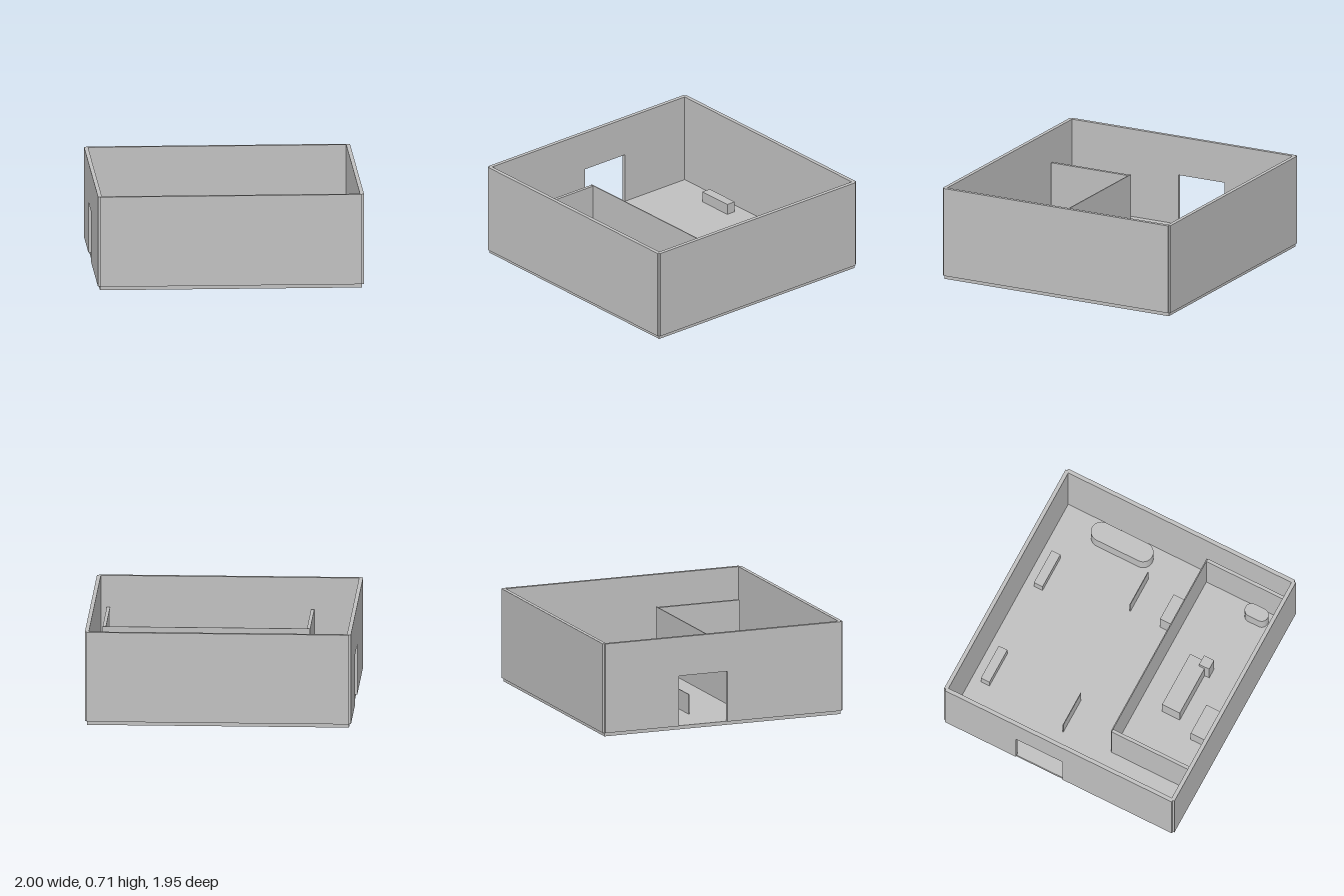
import * as THREE from 'three';

const FLOOR = 0.028, TOP = 0.715;

export function createModel() {
  const model = new THREE.Group();
  model.name = 'openRoom';
  const grey = new THREE.MeshStandardMaterial({ color: 0xc0c0c0 });
  grey.name = 'plain grey';

  const add = (name, geometry) => {
    const mesh = new THREE.Mesh(geometry, grey);
    mesh.name = name;
    model.add(mesh);
    return mesh;
  };
  // Box given by its limits on each axis
  const block = (name, x0, x1, y0, y1, z0, z1) =>
    add(name, new THREE.BoxGeometry(x1 - x0, y1 - y0, z1 - z0)
      .translate((x0 + x1) / 2, (y0 + y1) / 2, (z0 + z1) / 2));

  // Upright block with a round-ended plan, long along z
  const roundEnded = (name, x0, x1, z0, z1, height) => {
    const r = (x1 - x0) / 2, half = (z1 - z0) / 2 - r;
    const plan = new THREE.Shape();
    plan.absarc(0, half, r, 0, Math.PI, false);
    plan.absarc(0, -half, r, Math.PI, Math.PI * 2, false);
    plan.closePath();
    const geometry = new THREE.ExtrudeGeometry(plan, { depth: height, bevelEnabled: false, curveSegments: 16 });
    geometry.rotateX(-Math.PI / 2).translate((x0 + x1) / 2, FLOOR, (z0 + z1) / 2);
    return add(name, geometry);
  };

  // Floor and outer walls, whose corners interlock with a small notch
  block('floor', -0.985, 0.985, 0, FLOOR, -0.96, 0.96);
  block('frontWall', -0.985, 0.985, FLOOR, TOP, 0.945, 0.975);
  block('backWall', -0.985, 0.985, FLOOR, TOP, -0.975, -0.945);
  block('leftWall', 0.97, 1, FLOOR, TOP, -0.96, 0.96);

  // Wall with the doorway, drawn in (z, y) and turned to run along z
  const outline = new THREE.Shape([
    [-0.96, FLOOR], [-0.36, FLOOR], [-0.36, 0.415], [0.035, 0.415],
    [0.035, FLOOR], [0.96, FLOOR], [0.96, TOP], [-0.96, TOP],
  ].map(([z, y]) => new THREE.Vector2(-z, y)));
  add('doorwayWall', new THREE.ExtrudeGeometry(outline, { depth: 0.03, bevelEnabled: false })
    .rotateY(Math.PI / 2).translate(-1, 0, 0));

  // Inner room
  block('partition', -0.63, 0.92, FLOOR, 0.48, 0.253, 0.261);
  block('partitionSideRight', -0.635, -0.61, FLOOR, 0.475, 0.261, 0.925);
  block('partitionSideLeft', 0.9, 0.925, FLOOR, 0.475, 0.261, 0.925);

  // Furniture inside the inner room
  block('desk', -0.17, 0.285, FLOOR, 0.18, 0.445, 0.595);
  block('deskBox', 0.23, 0.31, FLOOR, 0.22, 0.55, 0.635);
  block('bench', -0.27, -0.015, FLOOR, 0.168, 0.74, 0.855);
  roundEnded('smallRoundTable', 0.765, 0.87, 0.635, 0.825, 0.13);

  // Furniture in the main space
  block('cabinet', 0.42, 0.64, FLOOR, 0.208, 0.12, 0.225);
  roundEnded('longRoundTable', 0.772, 0.928, -0.68, -0.17, 0.13);
  for (const x of [-0.59, 0.27]) block('lowBench', x, x + 0.29, FLOOR, 0.11, -0.87, -0.797);
  for (const x of [-0.66, 0.428]) block('thinPanel', x, x + 0.29, FLOOR, 0.18, -0.141, -0.135);

  return model;
}
